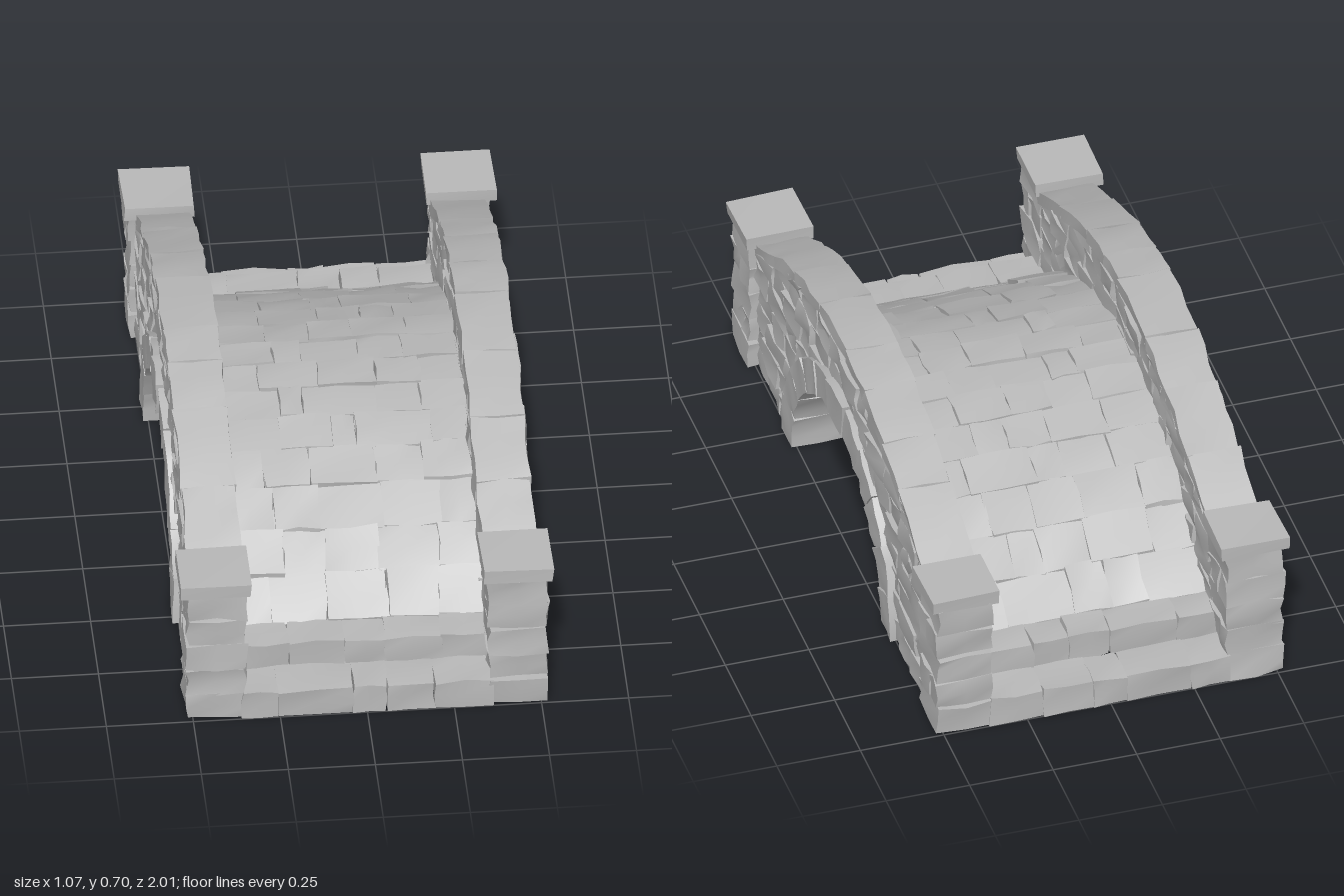
import * as THREE from 'three';
import { mergeGeometries, toCreasedNormals } from 'three/addons/utils/BufferGeometryUtils.js';

const stoneGrey = new THREE.MeshStandardMaterial({ color: 0xb8b8b8, side: THREE.DoubleSide });
stoneGrey.name = 'stone grey';

// Small seeded random source
let seed = 7;
const rand = () => (seed = (seed * 16807) % 2147483647) / 2147483647;
const vary = (amount) => (rand() - 0.5) * 2 * amount;

// Height of the walkway and of the parapet top along the bridge
const deckY = (z) => 0.51 - 0.56 * z * z;
const copeY = (z) => 0.69 - 0.42 * z * z + 0.08 * z ** 4;
// Distance from the middle at which the parapet falls to a height
const copeReach = (y) => Math.min(0.84,
  Math.sqrt((0.42 - Math.sqrt(Math.max(0, 0.1764 - 0.32 * (0.69 - y)))) / 0.16));

// Rough block: a unit box with worn, wobbly corners, placed by a mapping rule
function stone(map, wobble = 0.007, segments = [2, 2, 2]) {
  const geo = new THREE.BoxGeometry(1, 1, 1, ...segments);
  const pos = geo.attributes.position;
  const offsets = new Map();
  const p = new THREE.Vector3();
  for (let i = 0; i < pos.count; i++) {
    p.fromBufferAttribute(pos, i);
    const key = p.toArray().map((n) => Math.round(n * 100)).join();
    if (!offsets.has(key)) {
      offsets.set(key, new THREE.Vector3(vary(wobble), vary(wobble), vary(wobble)));
    }
    map(p);
    p.add(offsets.get(key));
    p.y = Math.max(p.y, 0);
    pos.setXYZ(i, p.x, p.y, p.z);
  }
  geo.deleteAttribute('uv');
  return toCreasedNormals(geo, 0.6);
}

// Mapping rule for a plain block between two corners
const between = (x0, x1, y0, y1, z0, z1) => (p) => p.set(
  x0 + (p.x + 0.5) * (x1 - x0),
  y0 + (p.y + 0.5) * (y1 - y0),
  z0 + (p.z + 0.5) * (z1 - z0));

// Uneven division of a length into about equal stones
function cuts(a, b, size) {
  const n = Math.max(1, Math.round((b - a) / size));
  const step = (b - a) / n;
  return Array.from({ length: n + 1 }, (_, i) =>
    a + i * step + (i > 0 && i < n ? vary(step * 0.28) : 0));
}

function addMesh(parent, name, geo) {
  const mesh = new THREE.Mesh(geo, stoneGrey);
  mesh.name = name;
  parent.add(mesh);
  return mesh;
}

// Filling behind the stones, between two height curves along z, extruded across x
function core(width, end, topY, bottomY) {
  const top = [], bottom = [];
  for (let i = 0; i <= 60; i++) {
    const z = -end + (2 * end * i) / 60;
    top.push(new THREE.Vector2(z, topY(z)));
    bottom.unshift(new THREE.Vector2(z, bottomY(z)));
  }
  const shape = new THREE.Shape([...top, ...bottom]);
  const geo = new THREE.ExtrudeGeometry(shape, { depth: width, bevelEnabled: false });
  return geo.translate(0, 0, -width / 2).rotateY(-Math.PI / 2);
}

// Walkway paving: two low steps at each end, then courses that follow the hump
function paving() {
  const list = [];
  const rows = [1, 0.88, 0.78, 0.67, 0.56, 0.44, 0.33, 0.22, 0.11, 0];
  for (const s of [1, -1]) {
    for (let r = 0; r < rows.length - 1; r++) {
      const far = rows[r], near = rows[r + 1];
      const xs = cuts(-0.36, 0.36, 0.15);
      for (let i = 0; i < xs.length - 1; i++) {
        const place = between(xs[i], xs[i + 1], 0, 1,
          s > 0 ? near : -far, s > 0 ? far : -near);
        const lift = vary(0.006);
        list.push(stone((p) => {
          place(p);
          const top = r < 2 ? [0.09, 0.17][r] : deckY(p.z) + lift;
          const bottom = r < 2 ? [0, 0.085][r] : top - 0.06;
          p.y = bottom + p.y * (top - bottom);
        }, 0.005));
      }
    }
  }
  return mergeGeometries(list);
}

// Coursed stones of one side wall, around the arch and below the coping
function wallStones(side) {
  const list = [];
  const h = 0.078;
  for (let y0 = 0; y0 < 0.62; y0 += h) {
    const ratio = (y0 + h / 2) / 0.455;
    const start = ratio < 1 ? 0.48 * Math.sqrt(1 - ratio * ratio) : 0;
    const end = copeReach(y0 + 0.04);
    for (const s of [1, -1]) {
      const zs = cuts(start, end, 0.14);
      for (let i = 0; i < zs.length - 1; i++) {
        const a = s * zs[i], b = s * zs[i + 1];
        const half = 0.066 + rand() * 0.014;
        const place = between(side * 0.425 - half, side * 0.425 + half,
          y0 + 0.001, y0 + h - 0.001, Math.min(a, b) + 0.001, Math.max(a, b) - 0.001);
        list.push(stone((p) => {
          place(p);
          p.y = Math.min(p.y, copeY(p.z) - 0.03);
        }, 0.007));
      }
    }
  }
  return mergeGeometries(list);
}

// Ring of wedge stones around the opening
function archRing(side) {
  const list = [];
  const n = 11;
  for (let i = 0; i < n; i++) {
    const key = i === (n - 1) / 2 ? 0.008 : 0;
    list.push(stone((p) => {
      const t = (Math.PI * (i + 0.5 - p.z * 0.99)) / n;
      const v = p.y + 0.5;
      p.set(side * 0.435 + p.x * (0.16 + key * 2),
        (0.4 + v * (0.105 + key)) * Math.sin(t),
        (0.43 + v * (0.1 + key)) * Math.cos(t));
    }, 0.004, [2, 2, 3]));
  }
  return mergeGeometries(list);
}

// Curved slabs on top of the parapet
function coping(side) {
  const list = [];
  const zs = cuts(-0.83, 0.83, 0.21);
  for (let i = 0; i < zs.length - 1; i++) {
    const place = between(side * 0.423 - 0.077, side * 0.423 + 0.077, -0.042, 0, zs[i], zs[i + 1]);
    const lift = vary(0.004);
    list.push(stone((p) => {
      place(p);
      p.y += copeY(p.z) + lift;
    }, 0.005, [2, 1, 3]));
  }
  return mergeGeometries(list);
}

// Square end post of stacked stones
function postStones(side, s) {
  const list = [];
  const h = 0.088;
  for (let i = 0; i < 5; i++) {
    const half = 0.081 + rand() * 0.006;
    const joint = 0.89 + rand() * 0.05;
    const spans = i % 2 ? [[0.83, joint], [joint, 0.99]] : [[0.825, 0.995]];
    for (const [a, b] of spans) {
      list.push(stone(between(side * 0.433 - half, side * 0.433 + half,
        i * h + 0.001, (i + 1) * h - 0.001, Math.min(s * a, s * b), Math.max(s * a, s * b)), 0.007));
    }
  }
  return mergeGeometries(list);
}

// Faceted underside: each edge runs flat, over the arch and flat again,
// and fans to the opposite end corner of the other edge
function underside() {
  const verts = [];
  const edgePoint = (side, i) => {
    const t = 0.2 + ((Math.PI - 0.4) * (i - 1)) / 12;
    const flat = i === 0 || i === 14;
    const z = -side * (flat ? (i ? -0.86 : 0.86) : 0.435 * Math.cos(t));
    return [side * 0.36, flat ? 0.08 - 0.04 * z : 0.405 * Math.sin(t), z];
  };
  for (const side of [1, -1]) {
    const apex = edgePoint(-side, 0);
    for (let i = 0; i < 14; i++) {
      verts.push(...apex, ...edgePoint(side, i + 1), ...edgePoint(side, i));
    }
  }
  const geo = new THREE.BufferGeometry();
  geo.setAttribute('position', new THREE.Float32BufferAttribute(verts, 3));
  geo.computeVertexNormals();
  return geo;
}

export function createModel() {
  seed = 7;
  const bridge = new THREE.Group();
  bridge.name = 'stoneBridge';

  addMesh(bridge, 'deckCore', core(0.74, 0.8, (z) => deckY(z) - 0.02, (z) => deckY(z) - 0.05));
  addMesh(bridge, 'deckPaving', paving());
  addMesh(bridge, 'underside', underside());

  const wallBase = (z) => 0.43 * Math.sqrt(Math.max(0, 1 - (z / 0.46) ** 2));
  for (const side of [1, -1]) {
    const wall = new THREE.Group();
    wall.name = side > 0 ? 'leftWall' : 'rightWall';
    bridge.add(wall);
    addMesh(wall, 'wallCore', core(0.12, 0.84, (z) => copeY(z) - 0.03, wallBase)).position.x = side * 0.425;
    addMesh(wall, 'wallStones', wallStones(side));
    addMesh(wall, 'archRing', archRing(side));
    addMesh(wall, 'coping', coping(side));
    for (const s of [1, -1]) {
      const end = s > 0 ? 'front' : 'back';
      addMesh(wall, end + 'Post', postStones(side, s));
      addMesh(wall, end + 'PostCap', stone(between(side * 0.434 - 0.1, side * 0.434 + 0.1,
        0.435, 0.477, s * 0.903 - 0.095, s * 0.903 + 0.095), 0.003, [1, 1, 1]));
    }
  }
  return bridge;
}
